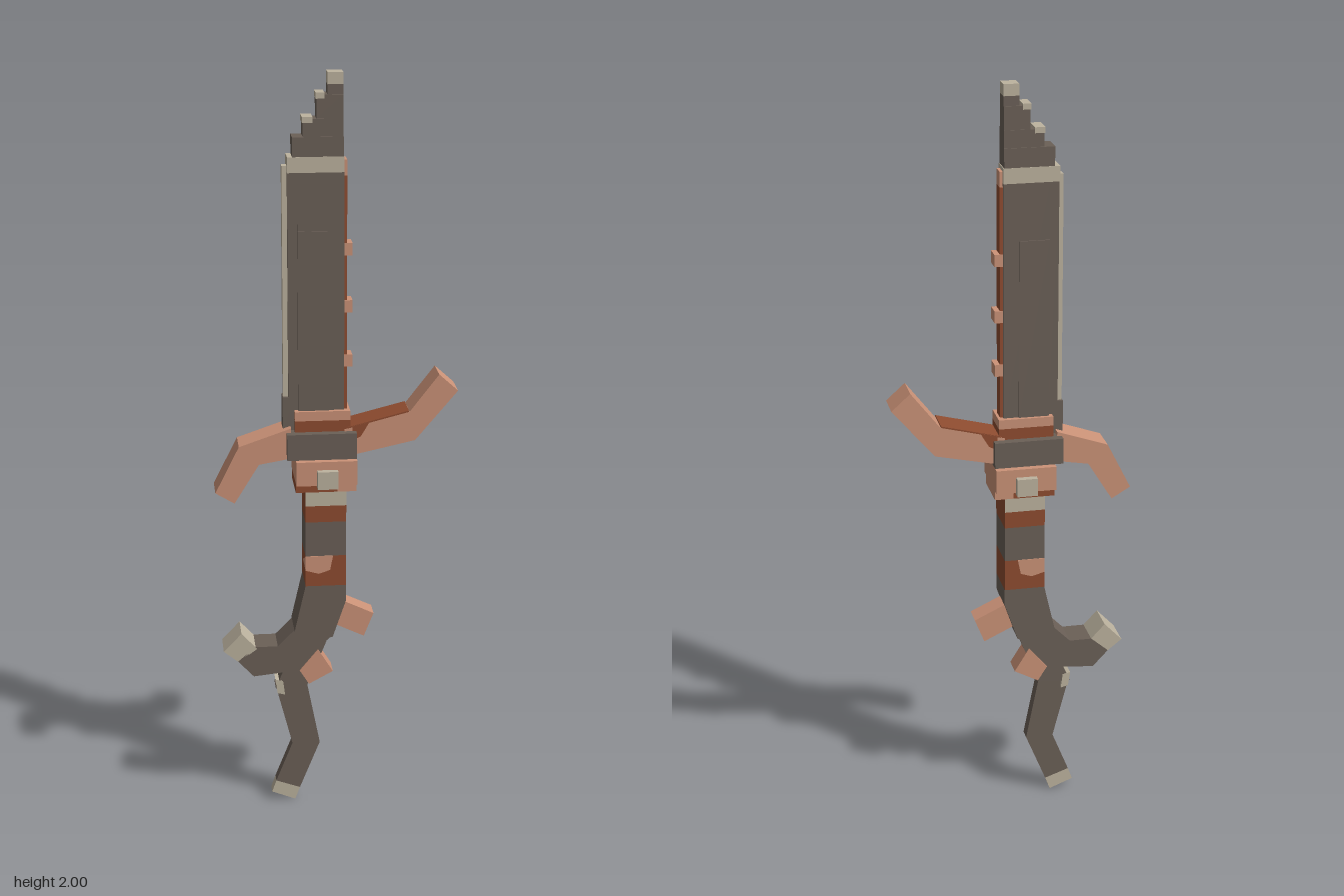
import * as THREE from 'three';

const mat = (name, color) => {
  const m = new THREE.MeshStandardMaterial({ color });
  m.name = name;
  return m;
};

export function createModel() {
  const dark = mat('darkIron', 0x6b6057);
  const copper = mat('paleCopper', 0xcc9378);
  const rust = mat('rustRed', 0x8f4c30);
  const bone = mat('bone', 0xbdb39f);
  const model = new THREE.Group();

  const add = (name, geo, material) => {
    const m = new THREE.Mesh(geo, material);
    m.name = name;
    model.add(m);
    return m;
  };
  // Box from x and y ranges, centred in z with half depth hz
  const box = (name, x0, x1, y0, y1, hz, material) => {
    const g = new THREE.BoxGeometry(x1 - x0, y1 - y0, hz * 2);
    g.translate((x0 + x1) / 2, (y0 + y1) / 2, 0);
    return add(name, g, material);
  };
  // Outline in the xy plane, extruded symmetrically in z
  const slab = (name, pts, hz, material) => {
    const shape = new THREE.Shape(pts.map(([x, y]) => new THREE.Vector2(x, y)));
    const g = new THREE.ExtrudeGeometry(shape, { depth: hz * 2, bevelEnabled: false });
    g.translate(0, 0, -hz);
    return add(name, g, material);
  };

  // Blade
  box('bladeCore', -0.1, 0.02, 1.12, 1.75, 0.028, dark);
  box('bladePanel', -0.1, -0.02, 1.12, 1.6, 0.032, dark);
  box('bladeSpine', -0.125, -0.1, 1.12, 1.75, 0.022, dark);
  box('spineStrip', -0.138, -0.125, 1.15, 1.765, 0.013, bone);
  box('spineFoot', -0.14, -0.11, 1.07, 1.16, 0.02, dark);
  box('bladeBand', -0.125, 0.02, 1.75, 1.79, 0.03, bone);
  box('cuttingEdge', 0.02, 0.028, 1.12, 1.74, 0.02, rust);
  box('cuttingEdgeCap', 0.02, 0.028, 1.74, 1.78, 0.02, copper);
  for (const y of [1.255, 1.4, 1.55]) box('tooth', 0.02, 0.042, y - 0.016, y + 0.016, 0.022, copper);

  // Stepped tip
  [[-0.112, 1.79, 1.84, 0.029], [-0.085, 1.84, 1.885, 0.026], [-0.05, 1.885, 1.945, 0.024], [-0.022, 1.945, 1.97, 0.021]]
    .forEach(([x, y0, y1, hz]) => box('tipStep', x, 0.018, y0, y1, hz, dark));
  box('tipEnd', -0.022, 0.018, 1.97, 2, 0.021, bone);
  box('tipChipLower', -0.087, -0.06, 1.875, 1.89, 0.027, bone);
  box('tipChipUpper', -0.052, -0.03, 1.935, 1.95, 0.025, bone);

  // Collar and guard
  box('collar', -0.11, 0.035, 1.07, 1.1, 0.041, rust);
  box('collarRim', -0.11, 0.035, 1.1, 1.125, 0.041, copper);
  box('guardBlock', -0.132, 0.05, 1.0, 1.07, 0.064, dark);
  box('guardBase', -0.11, 0.05, 0.935, 1.0, 0.082, copper);
  box('guardUnderside', -0.11, 0.0, 0.91, 0.935, 0.06, rust);
  box('guardUndersideFront', 0.0, 0.05, 0.91, 0.935, 0.06, copper);
  box('guardStud', -0.056, -0.002, 0.93, 0.978, 0.1, bone);

  // Guard arms
  slab('guardArmLeft', [[0.02, 1.0], [0.205, 1.04], [0.317, 1.172], [0.267, 1.217], [0.19, 1.118], [0.02, 1.075]], 0.043, copper);
  slab('armTopPlate', [[0.03, 1.0775], [0.188, 1.1175], [0.188, 1.1215], [0.03, 1.0815]], 0.043, rust);
  slab('armRustPatch', [[0.04, 1.045], [0.062, 1.055], [0.085, 1.094], [0.04, 1.083]], 0.0445, rust);
  slab('guardArmRight', [[-0.12, 1.0], [-0.205, 0.985], [-0.27, 0.88], [-0.32, 0.91], [-0.257, 1.035], [-0.12, 1.082]], 0.043, copper);

  // Banded grip; the top band is bone on its front and back only
  const sideMix = [rust, rust, rust, rust, bone, bone];
  box('gripTopBand', -0.085, 0.023, 0.87, 0.91, 0.056, sideMix);
  box('gripUpperWrap', -0.085, 0.023, 0.825, 0.87, 0.056, rust);
  box('gripMiddle', -0.085, 0.023, 0.73, 0.825, 0.056, dark);
  box('gripLowerWrap', -0.085, 0.023, 0.645, 0.73, 0.056, rust);
  slab('gripPatch', [[-0.085, 0.69], [-0.05, 0.68], [-0.02, 0.69], [-0.012, 0.73], [-0.085, 0.73]], 0.058, copper);

  // Curved pommel
  slab('pommelNeck', [[-0.085, 0.645], [-0.115, 0.515], [-0.013, 0.495], [0.023, 0.6], [0.023, 0.645]], 0.054, dark);
  slab('pommelHook', [[-0.115, 0.515], [-0.16, 0.47], [-0.22, 0.47], [-0.267, 0.43], [-0.225, 0.385], [-0.13, 0.395], [-0.013, 0.495]], 0.044, dark);
  slab('hookTip', [[-0.215, 0.465], [-0.257, 0.51], [-0.305, 0.46], [-0.265, 0.428]], 0.044, bone);

  // Spurs
  slab('upperSpur', [[0.015, 0.59], [0.1, 0.55], [0.074, 0.485], [-0.01, 0.525]], 0.029, copper);
  slab('lowerSpur', [[-0.05, 0.45], [-0.01, 0.385], [-0.075, 0.35], [-0.1, 0.39]], 0.029, copper);

  // Tail
  slab('tailRoot', [[-0.02, 0.49], [-0.06, 0.39], [-0.08, 0.345], [-0.165, 0.34], [-0.14, 0.4], [-0.08, 0.47]], 0.026, dark);
  slab('tail', [[-0.08, 0.35], [-0.045, 0.17], [-0.1, 0.035], [-0.165, 0.058], [-0.12, 0.17], [-0.165, 0.345]], 0.017, dark);
  slab('tailTip', [[-0.1, 0.035], [-0.113, 0], [-0.177, 0.025], [-0.165, 0.058]], 0.017, bone);
  slab('tailChip', [[-0.166, 0.365], [-0.145, 0.36], [-0.14, 0.32], [-0.16, 0.325]], 0.027, bone);

  return model;
}
